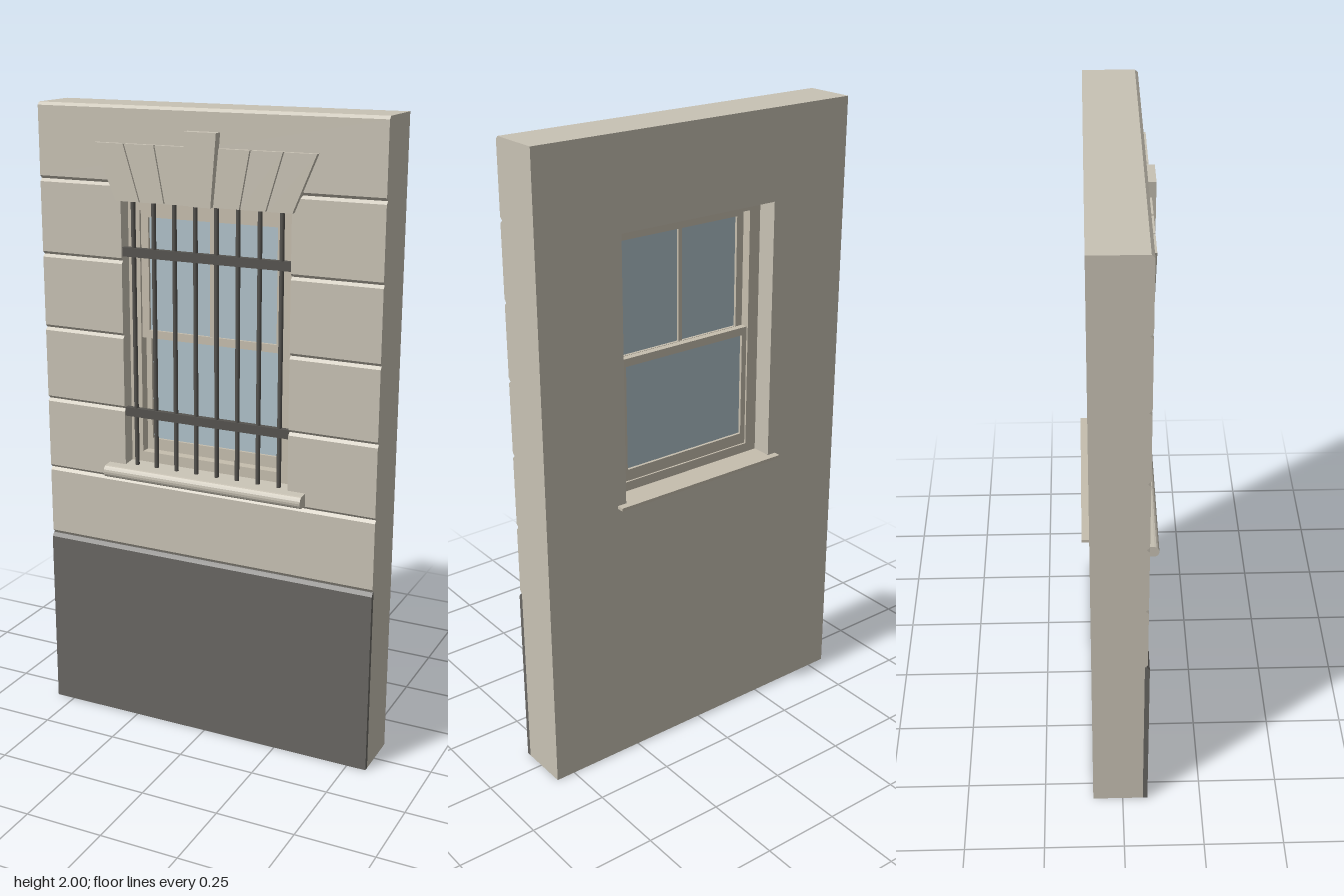
import * as THREE from 'three';

const mat = (name, color) => Object.assign(new THREE.MeshStandardMaterial({ color }), { name });

export function createModel() {
  const root = new THREE.Group();
  root.name = 'wallWithBarredWindow';
  const stone = mat('stone', 0xc8c2b4);
  const plinthGrey = mat('plinthGrey', 0x696763);
  const iron = mat('iron', 0x55534f);
  const paint = mat('framePaint', 0xc6beae);
  const glass = mat('glass', 0xb0c2ca);

  const add = (name, geo, material, parent = root) => {
    const m = new THREE.Mesh(geo, material);
    m.name = name;
    parent.add(m);
    return m;
  };
  const group = (name) => {
    const g = new THREE.Group();
    g.name = name;
    root.add(g);
    return g;
  };
  // Box given by its limits on each axis
  const box = (name, x0, x1, y0, y1, z0, z1, material, parent) => {
    const g = new THREE.BoxGeometry(x1 - x0, y1 - y0, z1 - z0);
    g.translate((x0 + x1) / 2, (y0 + y1) / 2, (z0 + z1) / 2);
    return add(name, g, material, parent);
  };
  const polygon = (pts) => new THREE.Shape(pts.map(([x, y]) => new THREE.Vector2(x, y)));
  // Face outline in x, y extruded between two depths
  const slab = (shape, z0, z1) => {
    const g = new THREE.ExtrudeGeometry(shape, { depth: z1 - z0, bevelEnabled: false });
    return g.translate(0, 0, z0);
  };
  // Profile of [z, y] points extruded between two x positions
  const moulding = (pts, x0, x1) => {
    const g = new THREE.ExtrudeGeometry(polygon(pts.map(([z, y]) => [-z, y])), { depth: x1 - x0, bevelEnabled: false });
    return g.rotateY(Math.PI / 2).translate(x0, 0, 0);
  };
  const rect = (x0, x1, y0, y1) => [[x0, y0], [x1, y0], [x1, y1], [x0, y1]];
  // Rectangular ring from outer and inner limits
  const ring = (outer, inner, z0, z1) => {
    const s = polygon(rect(...outer));
    s.holes.push(polygon(rect(...inner)));
    return slab(s, z0, z1);
  };

  const W = 0.5625, OX = 0.28, OY0 = 0.88, OY1 = 1.72;
  const BACK = -0.095, CORE = 0.065, FACE = 0.074;

  // Wall core with the window opening
  add('wallCore', ring([-W, W, 0, 2], [-OX, OX, OY0, OY1], BACK, CORE), stone);

  // Stone courses with chamfered edges that form the joints
  const courses = group('stoneCourses');
  const joints = [0.6, 0.83, 1.065, 1.3, 1.535, 1.77, 2];
  const c = 0.009;
  for (let i = 0; i < joints.length - 1; i++) {
    const y0 = joints[i], y1 = joints[i + 1];
    const profile = [[CORE - 0.01, y0], [CORE, y0], [FACE, y0 + c], [FACE, y1 - c], [CORE, y1], [CORE - 0.01, y1]];
    const split = y1 > OY0 && y0 < OY1;
    const spans = split ? [[-W, -OX], [OX, W]] : [[-W, W]];
    for (const [x0, x1] of spans) add('course', moulding(profile, x0, x1), stone, courses);
  }
  // Pieces of the split courses below and above the opening
  add('courseBelowWindow', moulding([[CORE, 0.83], [FACE, 0.839], [FACE, OY0], [CORE, OY0]], -OX, OX), stone, courses);
  add('courseAboveWindow', moulding([[CORE, OY1], [FACE, OY1], [FACE, 1.761], [CORE, 1.77]], -OX, OX), stone, courses);

  // Plinth
  add('plinth', moulding([[CORE, 0], [0.08, 0], [0.08, 0.588], [0.071, 0.6], [CORE, 0.6]], -W, W), plinthGrey);

  // Flared lintel: three wedge stones a side and a taller keystone
  const lintel = group('lintel');
  const top = [0.055, 0.157, 0.26, 0.36], bottom = [0.038, 0.125, 0.208, 0.288];
  for (const s of [-1, 1]) {
    for (let i = 0; i < 3; i++) {
      const g = i < 2 ? 0.004 : 0;
      const pts = [[s * bottom[i], OY1], [s * (bottom[i + 1] - g), OY1], [s * (top[i + 1] - g), 1.89], [s * top[i], 1.89]];
      add('wedgeStone', slab(polygon(pts), CORE, 0.09), stone, lintel);
    }
  }
  add('keystone', slab(polygon([[-0.035, OY1], [0.035, OY1], [0.053, 1.935], [-0.053, 1.935]]), CORE, 0.102), stone, lintel);

  // Outer sill with a rounded nose, and the inner sill board
  const nose = [];
  for (let i = 0; i <= 8; i++) {
    const a = -Math.PI / 2 + (i / 8) * Math.PI;
    nose.push([0.1 + 0.015 * Math.cos(a), 0.86 + 0.019 * Math.sin(a)]);
  }
  add('outerSill', moulding([[0.03, 0.841], ...nose, [0.03, 0.885]], -0.338, 0.338), stone);
  box('innerSill', -0.31, 0.31, 0.878, 0.888, -0.118, -0.09, paint);
  box('innerSillBoard', -OX, OX, 0.878, 0.888, -0.09, -0.02, paint);

  // Window frame and two sliding sashes
  const win = group('window');
  add('windowFrame', ring([-OX, OX, OY0, OY1], [-0.24, 0.24, 0.918, 1.687], -0.03, 0.03), paint, win);
  add('upperSash', ring([-0.24, 0.24, 1.29, 1.687], [-0.215, 0.215, 1.315, 1.666], 0, 0.022), paint, win);
  add('lowerSash', ring([-0.24, 0.24, 0.918, 1.315], [-0.222, 0.222, 0.955, 1.29], -0.024, -0.002), paint, win);
  box('glazingBar', -0.007, 0.007, 1.315, 1.666, 0.003, 0.019, paint, win);
  box('upperGlass', -0.217, 0.217, 1.313, 1.668, 0.009, 0.013, glass, win);
  box('lowerGlass', -0.224, 0.224, 0.953, 1.292, -0.015, -0.011, glass, win);

  // Iron grille
  const grille = group('grille');
  for (let i = 0; i < 8; i++) {
    const bar = add('uprightBar', new THREE.CylinderGeometry(0.007, 0.007, OY1 - OY0, 12), iron, grille);
    bar.position.set(-0.245 + i * 0.07, (OY0 + OY1) / 2, 0.06);
  }
  for (const y of [1.056, 1.563]) box('crossBar', -OX, OX, y - 0.014, y + 0.014, 0.051, 0.069, iron, grille);

  return root;
}
